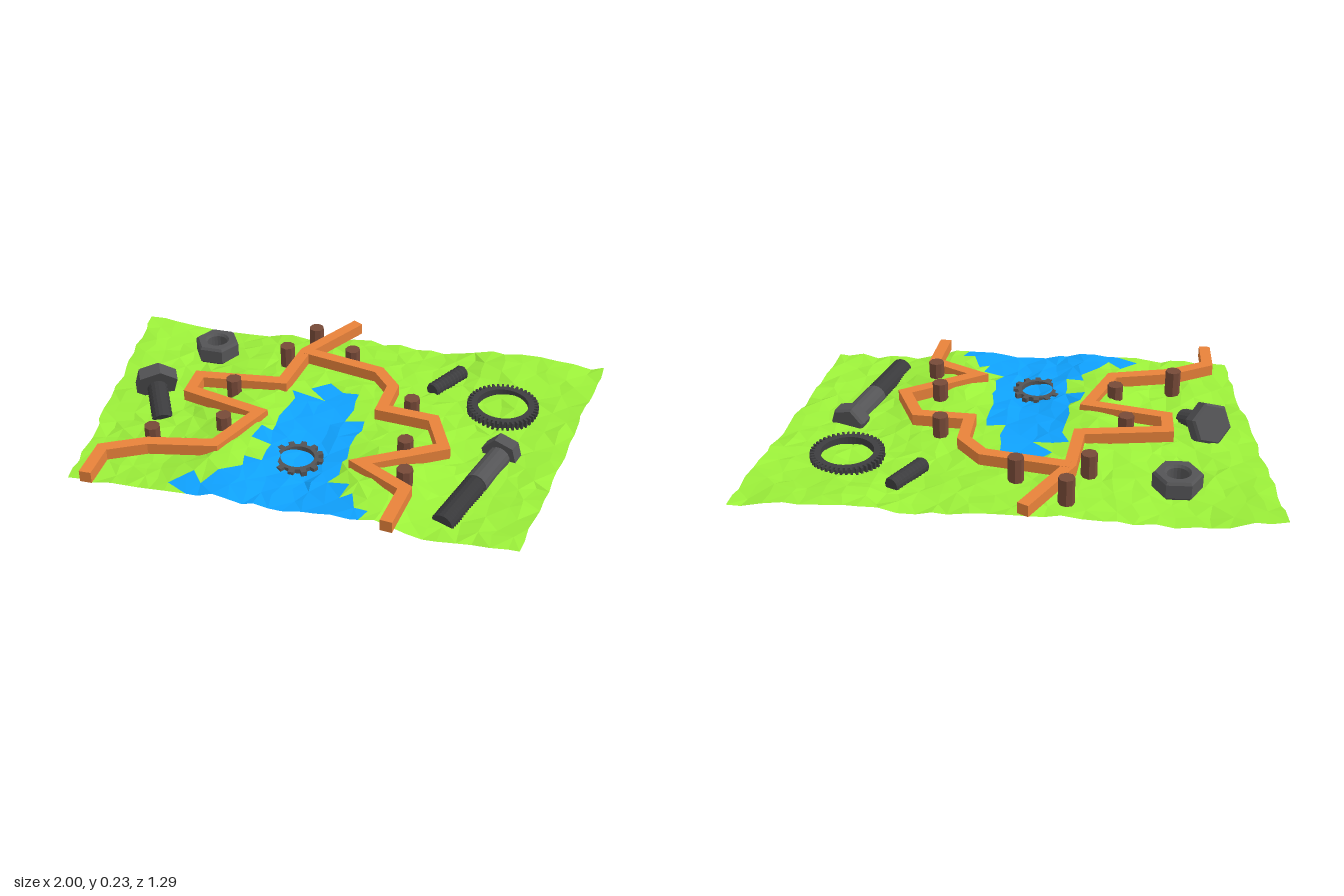
import * as THREE from 'three';

const V2 = (x, y) => new THREE.Vector2(x, y);
const V3 = (x, y, z) => new THREE.Vector3(x, y, z);
const paint = (color, extra = {}) => new THREE.MeshStandardMaterial({ color, flatShading: true, ...extra });
const green = paint(0x9cf03a, { side: THREE.DoubleSide });
const blue = paint(0x0fa2ff, { side: THREE.DoubleSide });
const orange = paint(0xe8823a);
const brown = paint(0x774a38);
const steel = paint(0x545456);
const darkSteel = paint(0x3e3e40);

function add(parent, name, geometry, material) {
  const mesh = new THREE.Mesh(geometry, material);
  mesh.name = name;
  parent.add(mesh);
  return mesh;
}

// Repeatable noise in -1..1
function noise(i, j, k) {
  const s = Math.sin(i * 127.1 + j * 311.7 + k * 74.7) * 43758.5453;
  return (s - Math.floor(s)) * 2 - 1;
}

// Coarse ground heights, back row to front row, -x to +x
const heights = [
  [.085, .042, .065, .09, .08, .12, .095],
  [.075, .07, .095, .09, .08, .085, .1],
  [.07, .085, .132, .1, .1, .072, .085],
  [.065, .08, .135, .09, .132, .074, .078],
  [.085, .095, .115, .1, .12, .076, .09],
];
function groundHeight(u, v) {
  const a = u * 6, b = v * 4;
  const i = Math.min(5, Math.floor(a)), j = Math.min(3, Math.floor(b));
  const ease = t => THREE.MathUtils.smoothstep(t, 0, 1);
  const row = r => THREE.MathUtils.lerp(heights[r][i], heights[r][i + 1], ease(a - i));
  return THREE.MathUtils.lerp(row(j), row(j + 1), ease(b - j));
}

// Pond outline as x, z pairs
const pond = [[-.05, -.22], [.03, -.19], [.07, -.05], [.14, .08], [.1, .15], [.12, .25], [.1, .38],
  [.16, .48], [.25, .57], [.23, .65], [-.4, .65], [-.47, .56], [-.43, .5], [-.36, .52], [-.27, .42],
  [-.2, .3], [-.24, .22], [-.18, .15], [-.2, .05], [-.2, -.1], [-.12, -.12], [-.11, -.2]];
function inPond(x, z) {
  let inside = false;
  pond.forEach(([ax, az], n) => {
    const [bx, bz] = pond[(n + 1) % pond.length];
    if ((az > z) !== (bz > z) && x < ax + (bx - ax) * (z - az) / (bz - az)) inside = !inside;
  });
  return inside;
}

// Rumpled ground sheet, split into grass and water triangles
function addTerrain(group) {
  const nx = 30, nz = 20;
  const point = (i, j) => {
    const u = i / nx, v = j / nz;
    const sideEdge = i === 0 || i === nx, endEdge = j === 0 || j === nz;
    const corner = sideEdge && endEdge;
    const x = THREE.MathUtils.lerp(-1 + .13 * v, 1 - .19 * v, u);
    const z = THREE.MathUtils.lerp(-.58 - .04 * u, .605, v);
    const jx = corner ? 0 : sideEdge ? .007 : .018, jz = corner ? 0 : endEdge ? .011 : .018;
    return V3(x + noise(i, j, 1) * jx, groundHeight(u, v) + noise(i, j, 3) * .007, z + noise(i, j, 2) * jz);
  };
  const grass = [], water = [];
  const triangle = (a, b, c) => {
    const target = inPond((a.x + b.x + c.x) / 3, (a.z + b.z + c.z) / 3) ? water : grass;
    target.push(...a.toArray(), ...b.toArray(), ...c.toArray());
  };
  for (let j = 0; j < nz; j++) for (let i = 0; i < nx; i++) {
    const a = point(i, j), b = point(i + 1, j), c = point(i + 1, j + 1), d = point(i, j + 1);
    if ((i + j) % 2) { triangle(a, d, b); triangle(b, d, c); }
    else { triangle(a, d, c); triangle(a, c, b); }
  }
  [['grass', grass, green], ['water', water, blue]].forEach(([name, list, material]) => {
    const g = new THREE.BufferGeometry();
    g.setAttribute('position', new THREE.Float32BufferAttribute(list, 3));
    g.computeVertexNormals();
    add(group, name, g, material);
  });
}

// Upright extrusion of a flat outline, from y = bottom
function slab(shape, bottom, height) {
  return new THREE.ExtrudeGeometry(shape, { depth: height, bevelEnabled: false, curveSegments: 20 })
    .rotateX(-Math.PI / 2).translate(0, bottom, 0);
}

// Mitred band along a path of x, z pairs
function railShape(path, width) {
  const p = path.map(([x, z]) => V2(x, -z));
  const left = [], right = [];
  p.forEach((q, i) => {
    const d1 = (i ? q.clone().sub(p[i - 1]) : p[1].clone().sub(q)).normalize();
    const d2 = (i < p.length - 1 ? p[i + 1].clone().sub(q) : d1.clone()).normalize();
    const n1 = V2(-d1.y, d1.x), n2 = V2(-d2.y, d2.x);
    const m = n1.clone().add(n2).normalize();
    m.multiplyScalar(width / 2 / m.dot(n1));
    left.push(q.clone().add(m));
    right.unshift(q.clone().sub(m));
  });
  return new THREE.Shape([...left, ...right]);
}

// Toothed ring outline with a round hole
function gearShape(inner, root, tip, teeth) {
  const pts = [];
  for (let i = 0; i < teeth; i++) {
    [[-.28, root], [-.2, tip], [.2, tip], [.28, root]].forEach(([o, r]) => {
      const a = (i + o) / teeth * Math.PI * 2;
      pts.push(V2(Math.cos(a) * r, Math.sin(a) * r));
    });
  }
  const shape = new THREE.Shape(pts);
  shape.holes.push(new THREE.Path().absarc(0, 0, inner, 0, Math.PI * 2, true));
  return shape;
}

// Ridged rod along +y, from y0 to y1
function threadGeometry(radius, y0, y1, turns) {
  const pts = [V2(0, y0), V2(radius * .85, y0)];
  const pitch = (y1 - y0) / turns;
  for (let i = 0; i < turns; i++) {
    pts.push(V2(radius, y0 + (i + .5) * pitch), V2(radius * .87, y0 + (i + 1) * pitch));
  }
  pts.push(V2(0, y1));
  return new THREE.LatheGeometry(pts, 16);
}

// Turn a part built along +y so that it runs from one point to another
function aim(part, from, to) {
  part.position.copy(from);
  part.quaternion.setFromUnitVectors(V3(0, 1, 0), to.clone().sub(from).normalize());
}

// Hex bolt whose head starts at the origin
function makeBolt(name, headR, headH, shaftR, plain, length, turns, spin) {
  const bolt = new THREE.Group();
  bolt.name = name;
  const profile = [V2(0, 0), V2(headR * .88, 0), V2(headR, headH * .15), V2(headR, headH), V2(0, headH)];
  add(bolt, 'boltHead', new THREE.LatheGeometry(profile, 6).rotateY(spin), steel);
  if (plain > 0) {
    add(bolt, 'boltShank', new THREE.CylinderGeometry(shaftR, shaftR, plain, 16).translate(0, headH + plain / 2, 0), steel);
  }
  add(bolt, 'boltThread', threadGeometry(shaftR, headH + plain, length, turns), darkSteel);
  return bolt;
}

export function createModel() {
  const model = new THREE.Group();
  model.name = 'landscape';
  addTerrain(model);

  // Zigzag fence rails
  const rails = {
    branchRail: [[-.22, -.36], [.11, -.29], [.19, -.19], [.18, -.03], [.39, -.01], [.46, .16], [.18, .33], [.37, .44], [.345, .64]],
    mainRail: [[-.06, -.635], [-.22, -.36], [-.25, -.12], [-.59, -.08], [-.59, .03], [-.28, .11], [-.38, .35], [-.63, .4], [-.78, .48], [-.78, .64]],
  };
  Object.entries(rails).forEach(([name, path], i) => {
    add(model, name, slab(railShape(path, .046), .11 - i * .001, .046), orange);
  });

  // Fence posts
  [[-.21, -.5], [-.29, -.33], [-.02, -.37], [-.43, -.04], [-.39, .21], [-.63, .345], [.29, -.08], [.32, .19], [.355, .37]]
    .forEach(([x, z]) => {
      add(model, 'post', new THREE.CylinderGeometry(.031, .031, .112, 8), brown).position.set(x, .13, z);
    });

  // Long bolt lying down
  const longBolt = makeBolt('longBolt', .076, .065, .046, .2, .53, 18, 0);
  aim(longBolt, V3(.68, .076, .01), V3(.52, .076, .525));
  model.add(longBolt);

  // Short bolt stuck into the ground
  const shortBolt = makeBolt('shortBolt', .088, .06, .042, 0, .225, 9, .3);
  aim(shortBolt, V3(-.765, .155, -.035), V3(-.675, .075, .14));
  model.add(shortBolt);

  // Threaded stud
  const stud = add(model, 'stud', threadGeometry(.033, 0, .19, 10), darkSteel);
  aim(stud, V3(.432, .095, -.452), V3(.335, .09, -.29));

  // Hex nut
  const hex = new THREE.Shape([0, 1, 2, 3, 4, 5].map(i => V2(Math.cos(i * Math.PI / 3) * .085, Math.sin(i * Math.PI / 3) * .085)));
  hex.holes.push(new THREE.Path().absarc(0, 0, .05, 0, Math.PI * 2, true));
  const nutGeometry = new THREE.ExtrudeGeometry(hex, { depth: .055, bevelThickness: .01, bevelSize: .008, bevelSegments: 1, curveSegments: 10 });
  add(model, 'nut', nutGeometry.rotateX(-Math.PI / 2), steel).position.set(-.615, .078, -.37);

  // Fine-toothed ring and pond gear
  add(model, 'toothedRing', slab(gearShape(.102, .125, .143, 44), -.023, .046), darkSteel).position.set(.63, .087, -.24);
  add(model, 'pondGear', slab(gearShape(.064, .08, .099, 12), -.016, .032), steel).position.set(-.07, .094, .3);
  return model;
}
